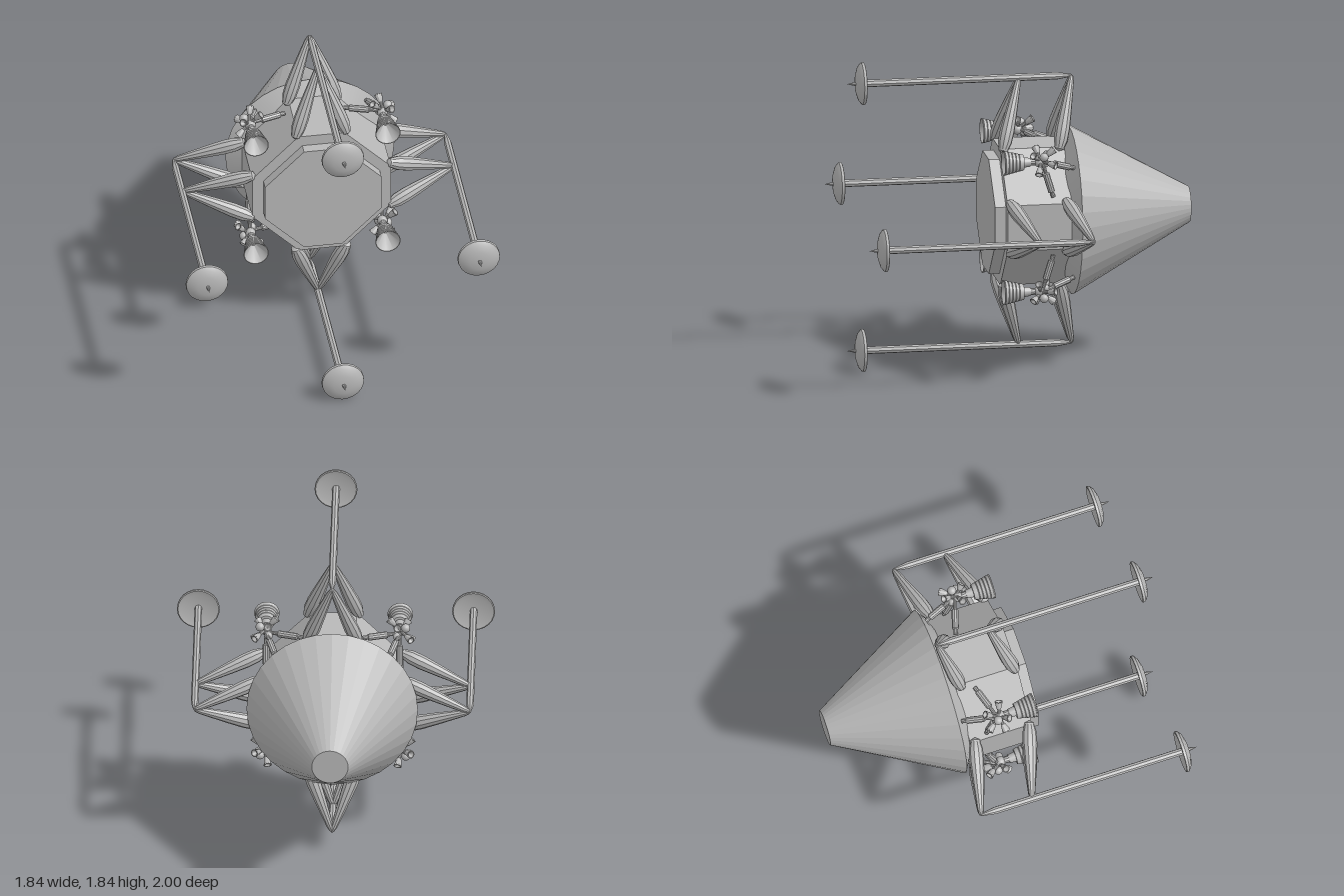
import * as THREE from 'three';
import { toCreasedNormals } from 'three/addons/utils/BufferGeometryUtils.js';

const CENTRE_Y = 0.92;
const grey = new THREE.MeshStandardMaterial({ color: 0xb8b8b8 });
grey.name = 'light grey';

const V = (x, y, z) => new THREE.Vector3(x, y, z);

function add(parent, name, geometry) {
  const mesh = new THREE.Mesh(geometry, grey);
  mesh.name = name;
  parent.add(mesh);
  return mesh;
}

// Turned solid whose axis is z; profile is [radius, z] pairs
function turned(profile, sides, crease = 0.6) {
  const g = new THREE.LatheGeometry(profile.map(([r, z]) => new THREE.Vector2(r, z)), sides);
  g.rotateX(Math.PI / 2);
  return toCreasedNormals(g, crease);
}

// Turned solid running from a to b; profile is [radius, fraction of length] pairs
function link(parent, name, a, b, profile, sides = 10) {
  const dir = b.clone().sub(a);
  const length = dir.length();
  const mesh = add(parent, name, turned(profile.map(([r, t]) => [r, t * length]), sides));
  mesh.position.copy(a);
  mesh.quaternion.setFromUnitVectors(V(0, 0, 1), dir.normalize());
  return mesh;
}

// Eight-sided slab with cut corners: a = half width, h = half of each flat side
function octagonSlab(a, h, z0, z1) {
  const pts = [[a, -h], [a, h], [h, a], [-h, a], [-a, h], [-a, -h], [-h, -a], [h, -a]];
  const shape = new THREE.Shape(pts.map(([x, y]) => new THREE.Vector2(x, y)));
  const g = new THREE.ExtrudeGeometry(shape, { depth: z1 - z0, bevelEnabled: false });
  return g.translate(0, 0, z0);
}

// Landing leg, built pointing along +x
function makeLeg() {
  const leg = new THREE.Group();
  leg.name = 'landingLeg';
  const reach = 0.795;

  const pole = add(leg, 'legPole', turned(
    [[0, -0.32], [0.008, -0.315], [0.022, -0.23], [0.022, 0.91], [0, 0.91]], 8, 0.3));
  pole.position.x = reach;

  // Shallow dish foot with a contact spike
  const pad = add(leg, 'footPad', turned(
    [[0, 0.908], [0.09, 0.905], [0.118, 0.897], [0.124, 0.9], [0.122, 0.915],
      [0.1, 0.932], [0.06, 0.945], [0, 0.95]], 24));
  pad.position.x = reach;
  const spike = add(leg, 'footSpike', turned([[0, 0.94], [0.012, 0.94], [0.009, 0.965], [0, 1]], 8));
  spike.position.x = reach;

  // Two pairs of swollen braces back to the body
  const bulge = [[0, 0], [0.012, 0.01], [0.02, 0.08], [0.036, 0.48], [0.043, 0.7],
    [0.041, 0.85], [0.026, 0.97], [0, 1]];
  for (const side of [-1, 1]) {
    link(leg, 'frontBrace', V(reach, 0, -0.005), V(0.385, side * 0.155, 0.115), bulge);
    link(leg, 'rearBrace', V(reach, 0, -0.315), V(0.385, side * 0.155, -0.215), bulge);
  }
  return leg;
}

// Thruster cluster, built with +x pointing away from the body
function makeThruster() {
  const unit = new THREE.Group();
  unit.name = 'thrusterCluster';

  // Stepped bell, hollow at the mouth
  const bell = [[0, -0.01], [0.025, -0.01], [0.03, 0.03], [0.045, 0.03]];
  const rings = 5;
  for (let i = 0; i < rings; i++) {
    const z = 0.04 + i * 0.021;
    const r = 0.048 + i * 0.005;
    bell.push([r, z], [r + 0.004, z + 0.016], [r, z + 0.018]);
  }
  bell.push([0.074, 0.148], [0.07, 0.148], [0.012, 0.05], [0, 0.05]);
  add(unit, 'engineBell', turned(bell, 20));

  // Hub and fuel spheres
  const spheres = [[0, 0, -0.06, 0.03], [0.05, 0, -0.085, 0.026], [-0.02, 0, -0.1, 0.024]];
  for (const [x, y, z, r] of spheres) {
    add(unit, 'fuelSphere', new THREE.SphereGeometry(r, 14, 10)).position.set(x, y, z);
  }
  add(unit, 'engineNeck', turned([[0, -0.07], [0.02, -0.07], [0.02, 0], [0, 0]], 10));

  // Small steering jets around the hub
  const jet = [[0, 0], [0.01, 0], [0.01, 0.5], [0.014, 0.55], [0.024, 1], [0.019, 1], [0, 0.7]];
  const hub = V(0.01, 0, -0.07);
  const ends = [V(0.01, 0.095, -0.05), V(0.01, -0.095, -0.05), V(0.04, 0.055, -0.15),
    V(0.04, -0.055, -0.15), V(0.07, 0, -0.02)];
  for (const end of ends) link(unit, 'steeringJet', hub, end, jet);

  // Sleeved rods that hold the cluster to the body and the cone
  const rod = [[0, 0], [0.011, 0], [0.011, 0.32], [0.02, 0.34], [0.02, 0.85],
    [0.013, 0.87], [0.013, 1], [0, 1]];
  for (const side of [-1, 1]) {
    link(unit, 'mountRod', V(0, 0, -0.08), V(-0.15, side * 0.15, -0.145), rod);
  }
  link(unit, 'rearRod', V(0, 0, -0.09), V(-0.085, 0, -0.275), rod);
  return unit;
}

export function createModel() {
  const model = new THREE.Group();
  model.name = 'lander';
  model.position.y = 0;
  const craft = new THREE.Group();
  craft.name = 'craft';
  craft.position.y = CENTRE_Y;
  model.add(craft);

  // Cone shell with a sloping collar, then the eight-sided body and its front plate
  add(craft, 'coneShell', turned(
    [[0, -1], [0.105, -1], [0.495, -0.3], [0.37, -0.23], [0, -0.23]], 32, 0.1));
  add(craft, 'body', octagonSlab(0.405, 0.135, -0.25, 0.125));
  add(craft, 'frontPlate', octagonSlab(0.34, 0.112, 0.12, 0.188));

  // Four legs on the axes, four thrusters on the diagonals
  for (let i = 0; i < 4; i++) {
    const angle = i * Math.PI / 2;
    const leg = makeLeg();
    leg.rotation.z = angle;
    craft.add(leg);

    const thruster = makeThruster();
    const a = angle + Math.PI / 4;
    thruster.position.set(Math.cos(a) * 0.545, Math.sin(a) * 0.545, 0);
    thruster.rotation.z = a;
    craft.add(thruster);
  }
  return model;
}
